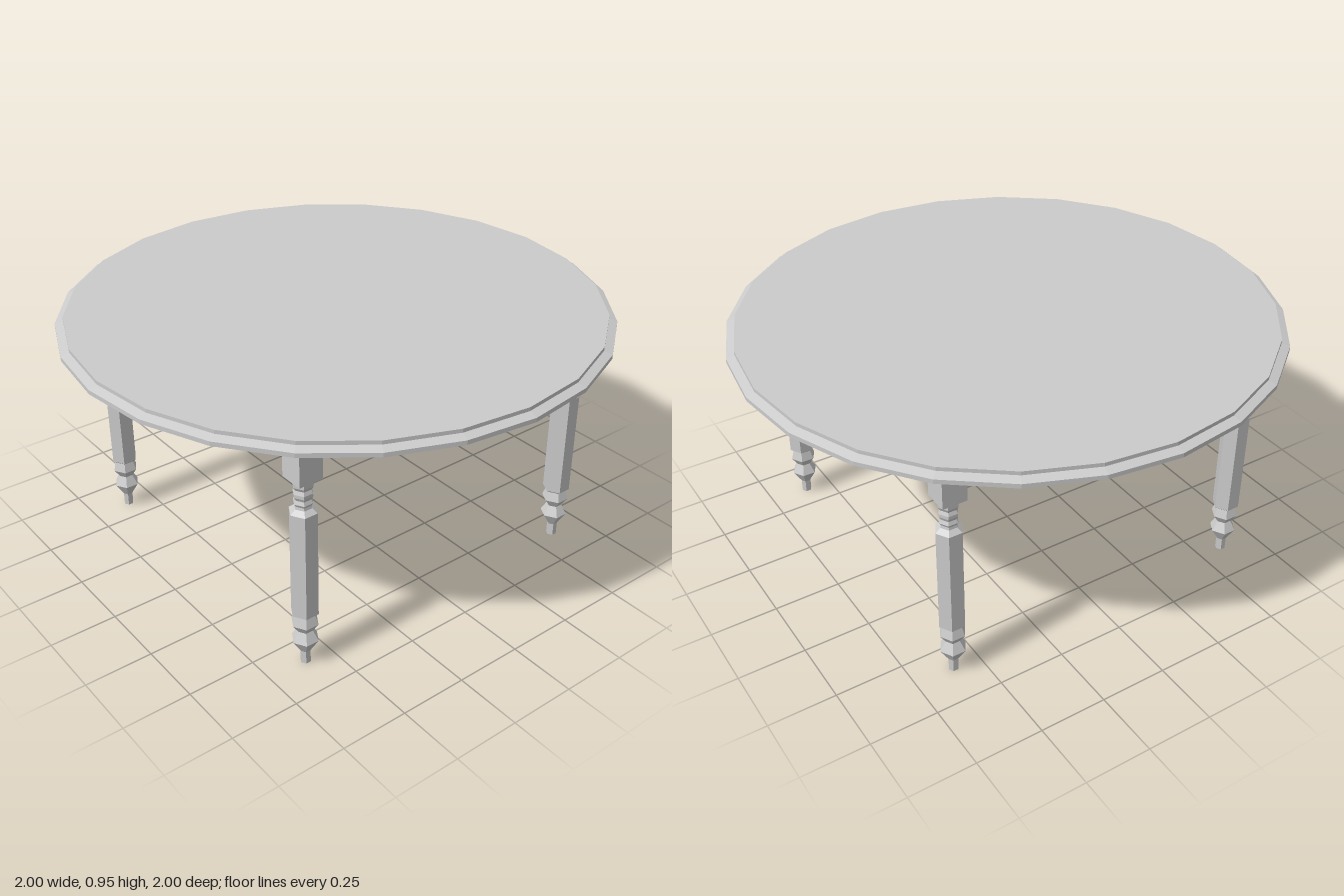
import * as THREE from 'three';

const material = new THREE.MeshStandardMaterial({ color: 0xcccccc, flatShading: true });

const LEG = 0.6;        // leg distance from the centre on x and z
const TOP_Y = 0.91;     // underside of the table top
const APRON_Y = 0.85;   // underside of the apron
const BLOCK_Y = 0.743;  // underside of the square leg block
const BLOCK = 0.09;     // block width

function part(name, geometry) {
  const mesh = new THREE.Mesh(geometry, material);
  mesh.name = name;
  return mesh;
}

// Box of square plan between two heights
function slab(name, width, bottom, top) {
  const mesh = part(name, new THREE.BoxGeometry(width, top - bottom, width));
  mesh.position.y = (top + bottom) / 2;
  return mesh;
}

// Faceted turned shape from [radius, y] pairs listed bottom to top
function turned(profile, sides) {
  const points = profile.map(([r, y]) => new THREE.Vector2(r, y));
  return new THREE.LatheGeometry(points, sides, Math.PI / 2);
}

// Square block above a six-sided turned post
function createLeg() {
  const leg = new THREE.Group();
  leg.name = 'leg';
  leg.add(slab('legBlock', BLOCK, BLOCK_Y, TOP_Y));
  leg.add(part('legPost', turned([
    [0, 0], [0.019, 0], [0.019, 0.05],                        // foot
    [0.049, 0.1], [0.028, 0.138], [0.049, 0.17],              // lower beads
    [0.037, 0.205], [0.05, 0.215], [0.05, 0.62],              // main shaft
    [0.031, 0.635],
    [0.029, 0.645], [0.035, 0.655], [0.029, 0.668],           // upper beads
    [0.035, 0.68], [0.035, 0.692], [0.029, 0.705],
    [0.037, 0.718], [0.037, 0.735], [0.029, BLOCK_Y],
  ], 6)));
  return leg;
}

export function createModel() {
  const table = new THREE.Group();
  table.name = 'roundTable';

  // Round top with an upright edge, a sloping rim and a small step
  table.add(part('tableTop', turned([
    [0, TOP_Y], [1, TOP_Y], [1, 0.926], [0.97, 0.936], [0.97, 0.95], [0, 0.95],
  ], 24)));

  // Closed square apron whose corners run into the leg blocks
  table.add(slab('apron', 2 * LEG, APRON_Y, TOP_Y));

  for (const x of [-LEG, LEG]) {
    for (const z of [-LEG, LEG]) {
      const leg = createLeg();
      leg.position.set(x, 0, z);
      table.add(leg);
    }
  }
  return table;
}
